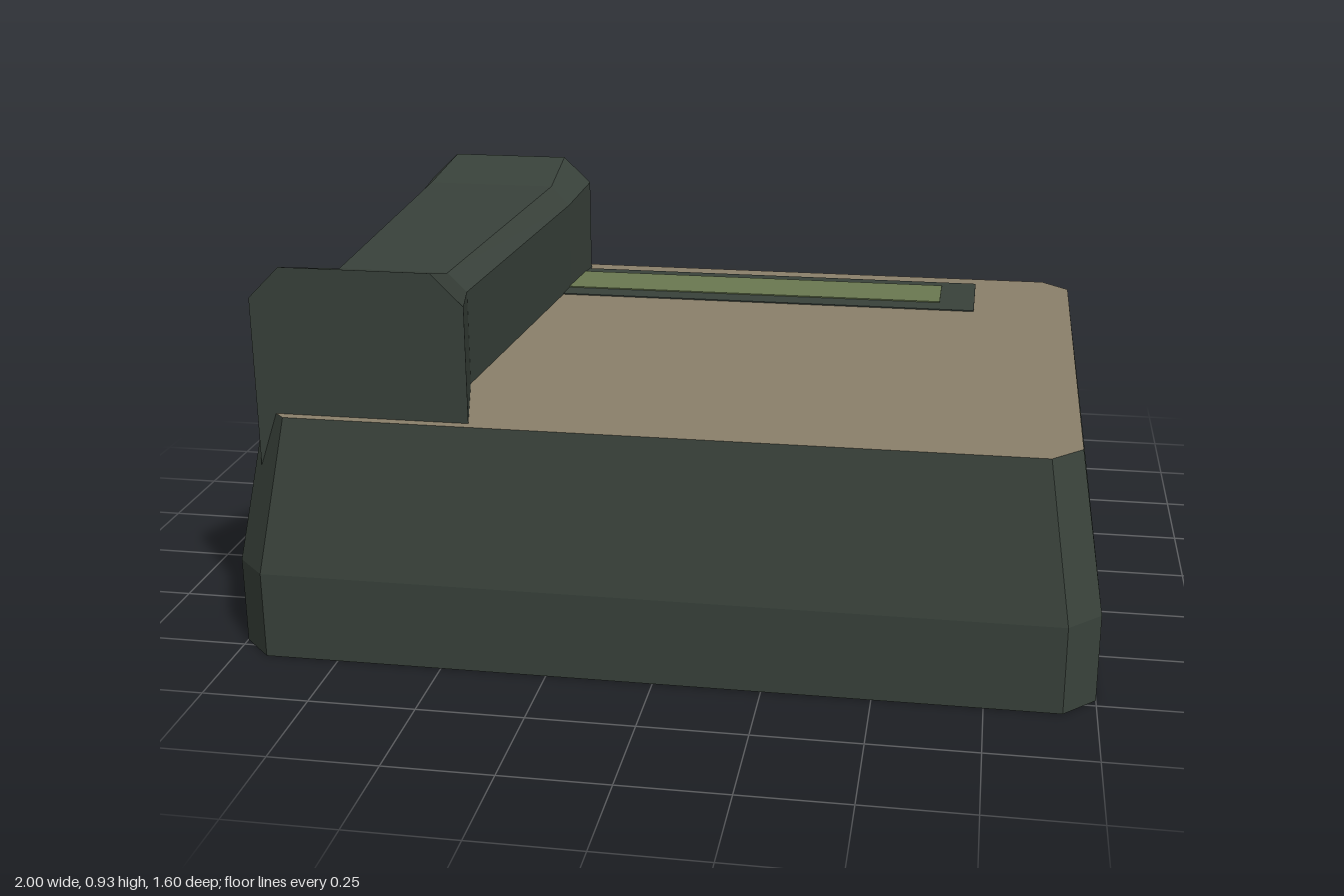
import * as THREE from 'three';

// Joins matching cross-sections (counter-clockwise around the axis) into a faceted solid.
function loft(rings, capStart = true, capEnd = true) {
  const pos = [];
  const n = rings[0].length;
  const tri = (a, b, c) => pos.push(...a, ...b, ...c);
  for (let k = 0; k < rings.length - 1; k++) {
    for (let i = 0; i < n; i++) {
      const j = (i + 1) % n;
      const a = rings[k][i], b = rings[k][j], c = rings[k + 1][j], d = rings[k + 1][i];
      tri(a, b, c);
      tri(a, c, d);
    }
  }
  const first = rings[0], last = rings[rings.length - 1];
  for (let i = 1; i < n - 1; i++) {
    if (capStart) tri(first[0], first[i + 1], first[i]);
    if (capEnd) tri(last[0], last[i], last[i + 1]);
  }
  const geo = new THREE.BufferGeometry();
  geo.setAttribute('position', new THREE.Float32BufferAttribute(pos, 3));
  geo.computeVertexNormals();
  return geo;
}

// Rectangle with cut corners, lying at height y.
const plan = (y, x, z, c) => [
  [-x + c, y, z], [x - c, y, z], [x, y, z - c], [x, y, -z + c],
  [x - c, y, -z], [-x + c, y, -z], [-x, y, -z + c], [-x, y, z - c],
];

// Handset slice with bevelled upper edges, standing at depth z.
const slice = (z, left, right, top, shoulder, bevel) => [
  [left, 0.4, z], [right, 0.4, z], [right, shoulder, z],
  [right - bevel, top, z], [left + bevel, top, z], [left, shoulder, z],
];

export function createModel() {
  const model = new THREE.Group();
  const material = (name, color) => {
    const m = new THREE.MeshStandardMaterial({ color });
    m.name = name;
    return m;
  };
  const casing = material('dark green casing', 0x39423b);
  const panel = material('tan panel', 0x8c816b);
  const glass = material('olive display', 0x6b7a51);

  const add = (name, geometry, mat) => {
    const mesh = new THREE.Mesh(geometry, mat);
    mesh.name = name;
    model.add(mesh);
    return mesh;
  };

  // Straight base that tapers inward to the top
  const topRing = plan(0.575, 0.94, 0.73, 0.07);
  add('body', loft([
    plan(0, 1, 0.8, 0.075),
    plan(0.21, 1, 0.8, 0.075),
    topRing,
  ], true, false), casing);

  // Flat top face
  const outline = new THREE.Shape(topRing.map(([x, , z]) => new THREE.Vector2(x, -z)));
  add('topPanel', new THREE.ShapeGeometry(outline).rotateX(-Math.PI / 2), panel).position.y = 0.575;

  // Display strip and its surround
  add('displayFrame', new THREE.BoxGeometry(1.36, 0.004, 0.28), casing).position.set(0, 0.576, -0.53);
  add('display', new THREE.BoxGeometry(1.17, 0.004, 0.17), glass).position.set(0, 0.579, -0.54);

  // Handset with flared ends, running back to front
  add('handset', loft([
    slice(-0.69, -0.925, -0.452, 0.905, 0.833, 0.075),
    slice(-0.47, -0.915, -0.465, 0.866, 0.814, 0.05),
    slice(0.425, -0.87, -0.51, 0.85, 0.805, 0.046),
    slice(0.705, -0.94, -0.437, 0.925, 0.85, 0.075),
  ]), casing);

  return model;
}
